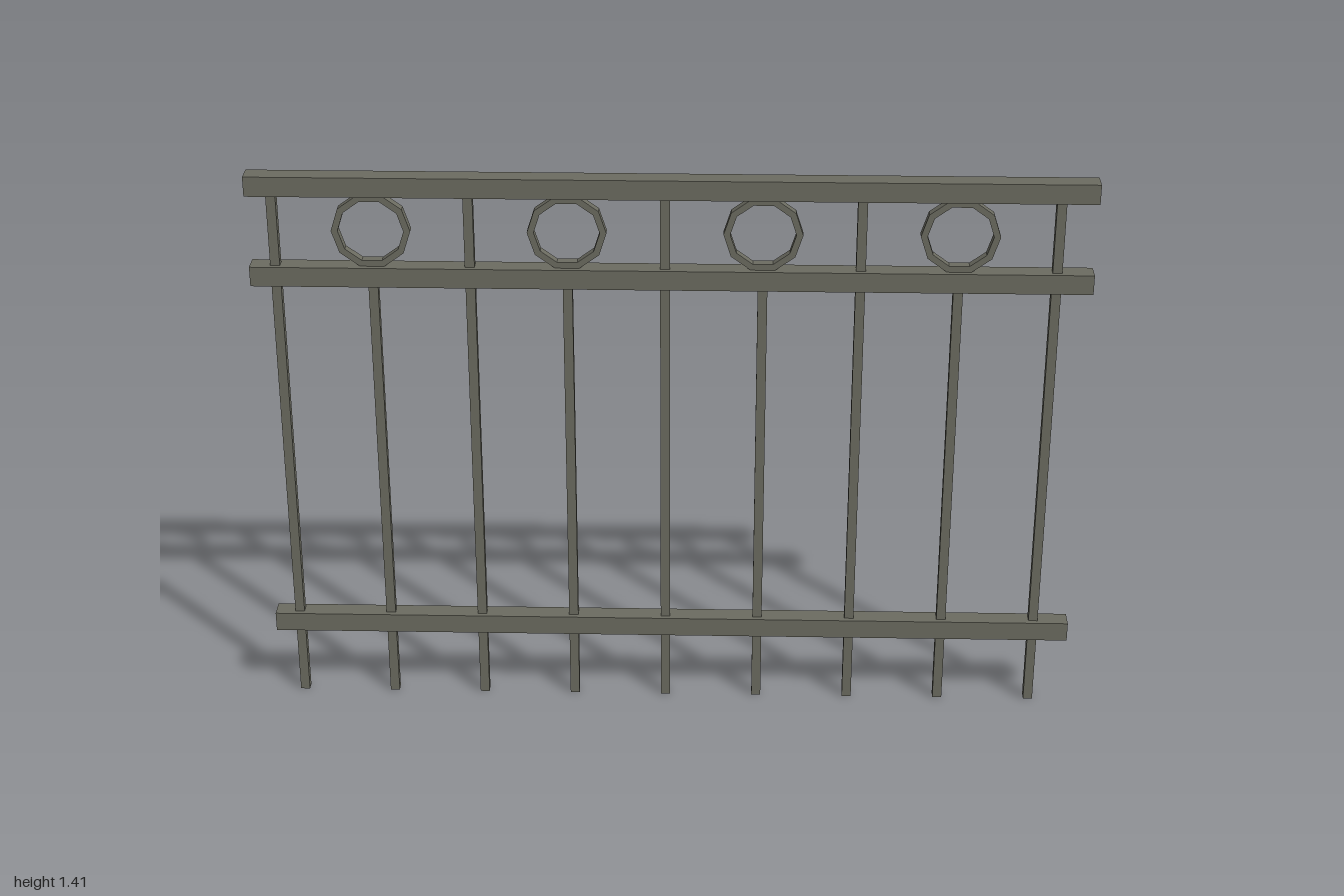
import * as THREE from 'three';

export function createModel() {
  const fence = new THREE.Group();
  fence.name = 'fencePanel';
  const metal = new THREE.MeshStandardMaterial({ color: 0x6c6c61 });
  metal.name = 'olive grey metal';

  const add = (name, geometry, x, y) => {
    const mesh = new THREE.Mesh(geometry, metal);
    mesh.name = name;
    mesh.position.set(x, y, 0);
    fence.add(mesh);
  };

  // Three horizontal rails
  const railGeometry = new THREE.BoxGeometry(2, 0.049, 0.049);
  add('topRail', railGeometry, 0, 1.384);
  add('middleRail', railGeometry, 0, 1.156);
  add('bottomRail', railGeometry, 0, 0.206);

  // Ten-sided flat ring, with corners pointing left and right
  const decagon = (radius) => Array.from({ length: 10 }, (_, i) => {
    const a = (i / 10) * Math.PI * 2;
    return new THREE.Vector2(Math.cos(a) * radius, Math.sin(a) * radius);
  });
  const ringShape = new THREE.Shape(decagon(0.094));
  ringShape.holes.push(new THREE.Path(decagon(0.078)));
  const depth = 0.023;
  const ringGeometry = new THREE.ExtrudeGeometry(ringShape, { depth, bevelEnabled: false });
  ringGeometry.translate(0, 0, -depth / 2);

  // Tall bars reach the top rail; short ones stop below a ring
  const tallBar = new THREE.BoxGeometry(0.023, 1.37, 0.023);
  const shortBar = new THREE.BoxGeometry(0.023, 1.15, 0.023);
  for (let i = 0; i < 9; i++) {
    const x = -0.94 + i * 0.2317;
    if (i % 2 === 0) {
      add('tallBar', tallBar, x, 0.685);
    } else {
      add('shortBar', shortBar, x, 0.575);
      add('ring', ringGeometry, x, 1.27);
    }
  }
  return fence;
}
